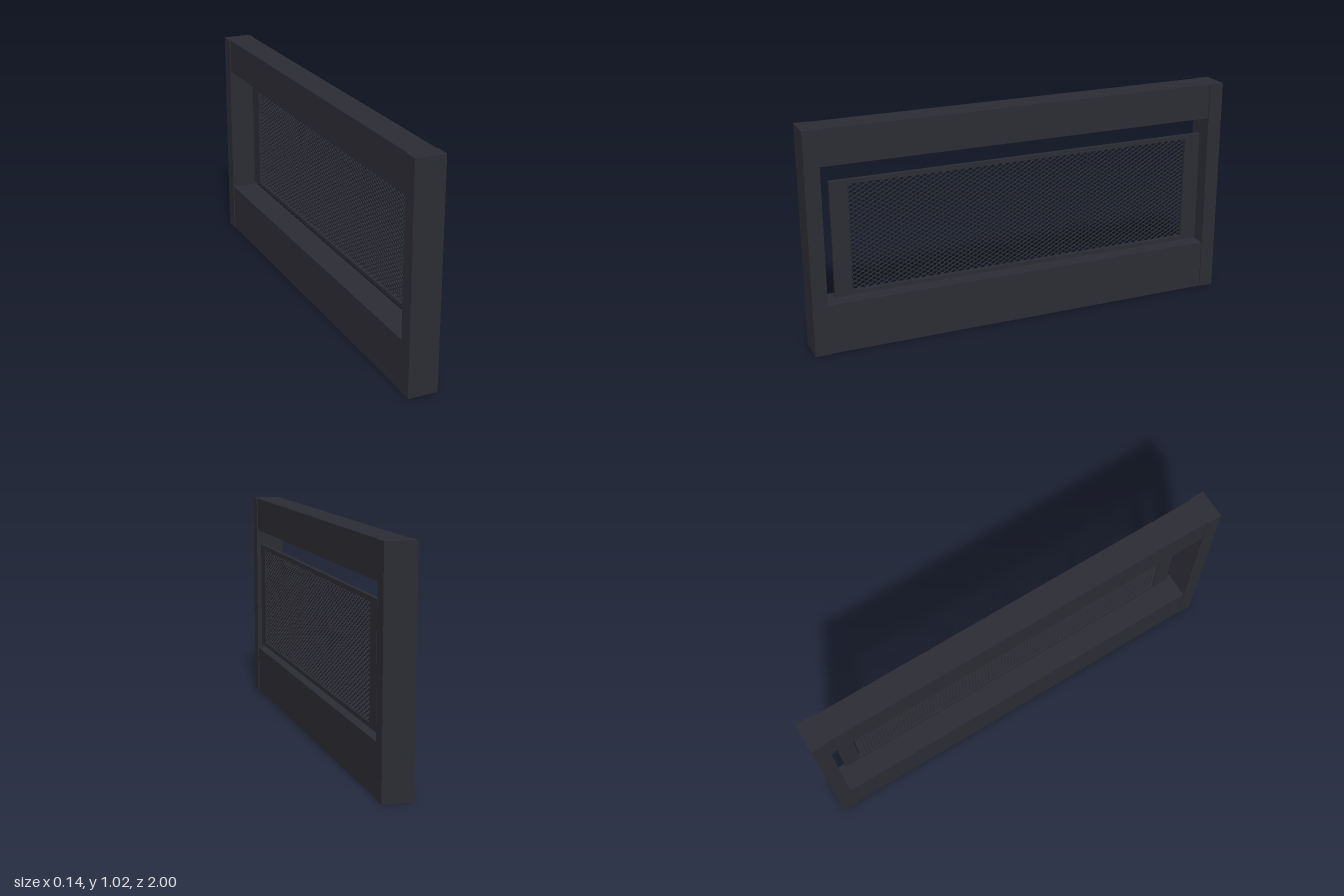
import * as THREE from 'three';
import { mergeGeometries } from 'three/addons/utils/BufferGeometryUtils.js';

const charcoal = new THREE.MeshStandardMaterial({ color: 0x2c2c34 });
charcoal.name = 'charcoal metal';

export function createModel() {
  const model = new THREE.Group();
  model.name = 'meshBarrier';

  const add = (name, geometry, x = 0, y = 0, z = 0) => {
    const mesh = new THREE.Mesh(geometry, charcoal);
    mesh.name = name;
    mesh.position.set(x, y, z);
    model.add(mesh);
    return mesh;
  };
  const box = (name, w, y0, y1, z0, z1) =>
    add(name, new THREE.BoxGeometry(w, y1 - y0, z1 - z0), 0, (y0 + y1) / 2, (z0 + z1) / 2);

  // End posts, slightly wider than the beams
  box('frontPost', 0.136, 0, 1.02, 0.932, 1);
  box('backPost', 0.136, 0, 1.02, -1, -0.932);

  // Beams between the posts
  box('topBeam', 0.126, 0.857, 1.02, -0.932, 0.932);
  box('bottomBeam', 0.126, 0, 0.23, -0.932, 0.932);

  // Panel frame: wide stiles, thin rails, set toward the +x side
  const rect = (Type, halfWidth, y0, y1) => {
    const path = new Type();
    path.moveTo(-halfWidth, y0);
    path.lineTo(halfWidth, y0);
    path.lineTo(halfWidth, y1);
    path.lineTo(-halfWidth, y1);
    path.closePath();
    return path;
  };
  const frame = rect(THREE.Shape, 0.895, 0.26, 0.786);
  frame.holes.push(rect(THREE.Path, 0.816, 0.28, 0.766));
  const frameGeometry = new THREE.ExtrudeGeometry(frame, { depth: 0.018, bevelEnabled: false });
  frameGeometry.rotateY(Math.PI / 2);
  add('panelFrame', frameGeometry, 0.038);

  // Expanded metal: wavy strands, alternately flipped so they meet in staggered cells
  const periods = 47, pitch = 0.035, rowStep = 0.01, wave = 0.0042, half = 0.0016;
  const strand = (sign) => {
    const line = [];
    for (let i = 0; i < periods * 2; i++) {
      const z = (i / 2 - periods / 2) * pitch;
      const y = wave * sign * (i % 2 ? -1 : 1);
      line.push([z, y], [z + pitch * 0.16, y]);
    }
    const outline = [
      ...line.map(([z, y]) => new THREE.Vector2(z, y - half)),
      ...line.reverse().map(([z, y]) => new THREE.Vector2(z, y + half)),
    ];
    const geometry = new THREE.ExtrudeGeometry(new THREE.Shape(outline), { depth: 0.006, bevelEnabled: false });
    return geometry.rotateY(Math.PI / 2);
  };
  const pair = [strand(1), strand(-1)];
  const strands = [];
  for (let k = 0; k < 49; k++) {
    strands.push(pair[k % 2].clone().translate(0, 0.283 + k * rowStep, 0));
  }
  add('wireMesh', mergeGeometries(strands), 0.044);

  return model;
}
